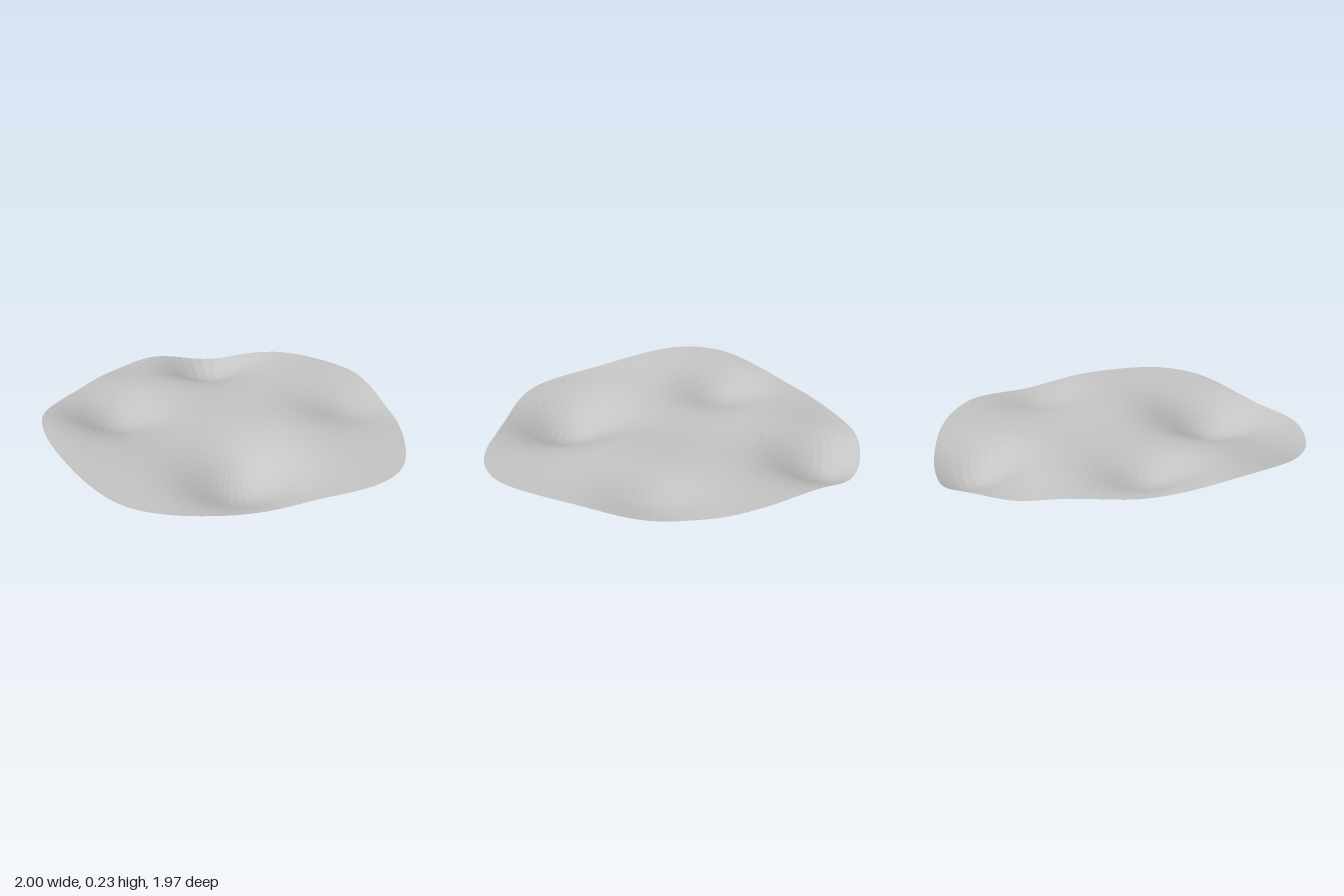
import * as THREE from 'three';

// Rounded outline of the sheet, as [x, z]
const OUTLINE = [
  [0, -0.985], [0.17, -0.965], [0.35, -0.875], [0.52, -0.745], [0.7, -0.57], [0.87, -0.36],
  [0.97, -0.19], [1, -0.07], [0.985, 0.07], [0.925, 0.21], [0.8, 0.39], [0.65, 0.6],
  [0.5, 0.78], [0.35, 0.895], [0.16, 0.965], [0, 0.98], [-0.3, 0.935], [-0.59, 0.82],
  [-0.79, 0.64], [-0.9, 0.4], [-0.945, 0.15], [-0.97, 0], [-1, -0.25], [-0.96, -0.48],
  [-0.85, -0.67], [-0.65, -0.83], [-0.4, -0.925], [-0.2, -0.97],
];

// Dips and swells: [x, z, height, spread]
const WAVES = [
  [-0.66, -0.62, -0.15, 0.19], // deep back dip
  [0.36, 0.4, -0.148, 0.2], // deep front dip
  [-0.56, 0.33, -0.1, 0.17], // shallow front dip
  [0.36, -0.62, -0.065, 0.18], // shallow back dip
  [-0.65, 0.72, 0.085, 0.33], // raised front corner
  [0.3, -0.15, 0.03, 0.22],
  [-0.6, -0.15, 0.02, 0.2],
  [0.05, 1, -0.03, 0.25],
  [-1, -0.25, -0.03, 0.15],
];

const BASE = 0.15;
const heightAt = (x, z) => WAVES.reduce((y, [cx, cz, amp, s]) =>
  y + amp * Math.exp(-((x - cx) ** 2 + (z - cz) ** 2) / (2 * s * s)), BASE);

export function createModel() {
  const RINGS = 22, SEGS = 96;
  const rim = new THREE.CatmullRomCurve3(
    OUTLINE.map(([x, z]) => new THREE.Vector3(x, 0, z)), true).getSpacedPoints(SEGS);

  // Concentric rings from the middle to the rim, lifted by the waves
  const pos = [0, heightAt(0, 0), 0];
  for (let r = 1; r <= RINGS; r++) {
    for (let s = 0; s < SEGS; s++) {
      const x = rim[s].x * r / RINGS, z = rim[s].z * r / RINGS;
      pos.push(x, heightAt(x, z), z);
    }
  }

  // Faces, wound to look upward
  const id = (r, s) => 1 + (r - 1) * SEGS + (s % SEGS);
  const index = [];
  for (let s = 0; s < SEGS; s++) {
    index.push(0, id(1, s + 1), id(1, s));
    for (let r = 1; r < RINGS; r++) {
      const a = id(r, s), b = id(r, s + 1), c = id(r + 1, s + 1), d = id(r + 1, s);
      index.push(a, b, c, a, c, d);
    }
  }

  const geometry = new THREE.BufferGeometry();
  geometry.setAttribute('position', new THREE.Float32BufferAttribute(pos, 3));
  geometry.setIndex(index);
  geometry.computeVertexNormals();
  geometry.computeBoundingBox();
  geometry.translate(0, -geometry.boundingBox.min.y, 0);

  const grey = new THREE.MeshStandardMaterial({
    name: 'light grey', color: 0xc4c4c4, side: THREE.DoubleSide, flatShading: true,
  });
  const sheet = new THREE.Mesh(geometry, grey);
  sheet.name = 'wavySheet';

  const group = new THREE.Group();
  group.name = 'wavyDisc';
  group.add(sheet);
  return group;
}
